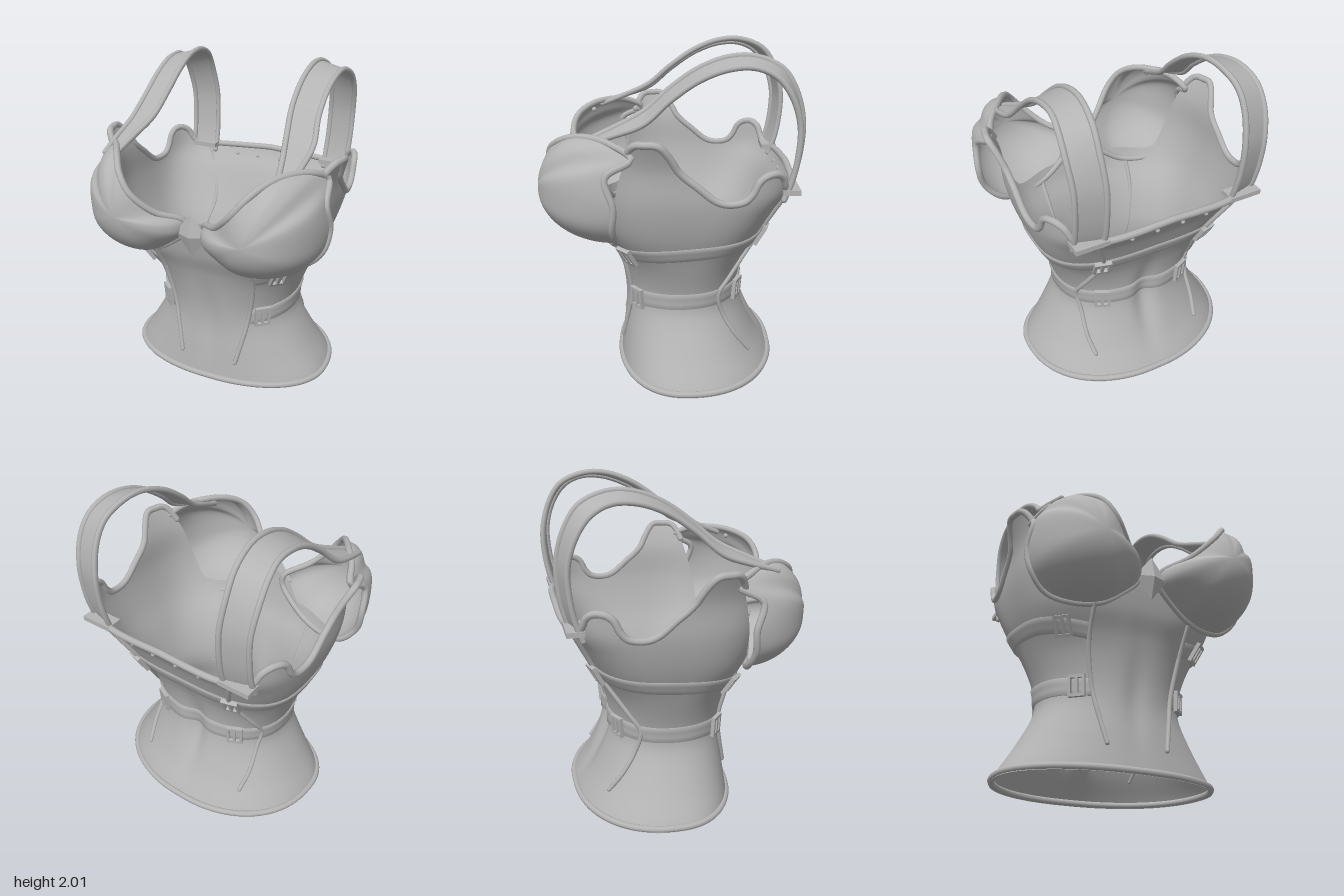
import * as THREE from 'three';

const steel = new THREE.MeshStandardMaterial({ color: 0xb4b4b4, side: THREE.DoubleSide });
steel.name = 'grey';

// Smooth interpolation through [position, value] pairs
function interp(table, t) {
  const n = table.length - 1;
  if (t <= table[0][0]) return table[0][1];
  if (t >= table[n][0]) return table[n][1];
  let i = 0;
  while (t > table[i + 1][0]) i++;
  const slope = (k) => {
    const a = table[Math.max(k - 1, 0)], b = table[Math.min(k + 1, n)];
    return (b[1] - a[1]) / (b[0] - a[0]);
  };
  const [x0, y0] = table[i], [x1, y1] = table[i + 1];
  const h = x1 - x0, s = (t - x0) / h, s2 = s * s, s3 = s2 * s;
  return y0 * (2 * s3 - 3 * s2 + 1) + y1 * (3 * s2 - 2 * s3)
    + slope(i) * h * (s3 - 2 * s2 + s) + slope(i + 1) * h * (s3 - s2);
}

// Torso profile by height
const halfWidth = [[0, 0.685], [0.05, 0.66], [0.2, 0.565], [0.4, 0.46], [0.5, 0.445], [0.6, 0.465], [0.8, 0.54],
  [1, 0.625], [1.2, 0.675], [1.4, 0.69], [1.5, 0.72], [1.58, 0.755]];
const frontZ = [[0, 0.325], [0.2, 0.305], [0.4, 0.29], [0.6, 0.305], [0.8, 0.35], [0.95, 0.41], [1.2, 0.46], [1.58, 0.47]];
const backZ = [[0, -0.67], [0.05, -0.64], [0.2, -0.55], [0.4, -0.47], [0.55, -0.445], [0.75, -0.475], [0.93, -0.55],
  [1.12, -0.635], [1.27, -0.72], [1.58, -0.74]];
const frontPower = [[0, 2.2], [0.7, 2.2], [1, 3], [1.6, 3]];
const backPower = [[0, 2.2], [0.5, 2.3], [0.8, 2.7], [1.25, 4], [1.6, 4]];
// Height of the top edge by angle from the front
const topEdge = [[0, 1.2], [0.14, 1.17], [0.28, 1.05], [0.4, 1.03], [0.78, 1.03], [0.87, 1.2], [0.96, 1.4], [1.06, 1.55],
  [1.2, 1.575], [1.31, 1.565], [1.4, 1.5], [1.48, 1.42], [1.65, 1.33], [1.81, 1.25], [1.95, 1.23], [2.07, 1.26],
  [2.136, 1.36], [2.24, 1.39], [2.32, 1.36], [2.39, 1.28], [2.5, 1.26], [Math.PI, 1.28]];
const topY = (u) => interp(topEdge, Math.abs(u > Math.PI ? u - 2 * Math.PI : u));

// Point on the torso: u is the angle from the front towards +x
function torso(u, y, out = 0) {
  const s = Math.sin(u), c = Math.cos(u), z0 = -0.1, front = c > 0;
  const n = interp(front ? frontPower : backPower, y);
  const r = 1 / Math.pow(Math.abs(s) ** n + Math.abs(c) ** n, 1 / n);
  const x = (interp(halfWidth, y) + out) * r * s;
  const depth = front ? interp(frontZ, y) - z0 + out : z0 - interp(backZ, y) + out;
  const groove = Math.exp(-((x / 0.07) ** 2)) * Math.exp(-(((y - 0.45) / 0.25) ** 2));
  return new THREE.Vector3(x, y, z0 + depth * r * c + groove * (front ? -0.02 : 0.045));
}

// Smooth surface from a grid of points f(s, t)
function surface(f, ns, nt, closed = false) {
  const pos = [], idx = [], cols = closed ? ns : ns + 1;
  for (let j = 0; j <= nt; j++)
    for (let i = 0; i < cols; i++) pos.push(...f(i / ns, j / nt).toArray());
  for (let j = 0; j < nt; j++)
    for (let i = 0; i < ns; i++) {
      const a = j * cols + i, b = j * cols + (i + 1) % cols;
      idx.push(a, b, b + cols, a, b + cols, a + cols);
    }
  const g = new THREE.BufferGeometry();
  g.setAttribute('position', new THREE.Float32BufferAttribute(pos, 3));
  g.setIndex(idx);
  g.computeVertexNormals();
  return g;
}

export function createModel() {
  const model = new THREE.Group();
  model.name = 'corset';
  const add = (name, geo) => {
    const m = new THREE.Mesh(geo, steel);
    m.name = name;
    model.add(m);
    return m;
  };
  const curveOf = (pts, closed = false) => new THREE.CatmullRomCurve3(pts, closed, 'centripetal');
  const cord = (name, pts, r, closed = false) => {
    add(name, new THREE.TubeGeometry(curveOf(pts, closed), pts.length * 5, r, 8, closed));
    if (!closed) for (const p of [pts[0], pts[pts.length - 1]])
      add(name + 'End', new THREE.SphereGeometry(r, 8, 6)).position.copy(p);
  };
  const sweep = (n, f) => Array.from({ length: n + 1 }, (_, i) => f(i / n));
  const TAU = Math.PI * 2;

  // Torso shell and its edge trims
  add('torso', surface((s, t) => torso(s * TAU, topY(s * TAU) * t), 240, 44, true));
  cord('topTrim', sweep(110, (t) => { const u = 1.0 + t * (TAU - 2.0); return torso(u, topY(u), 0.004); }), 0.021);
  cord('hemTrim', sweep(60, (t) => torso(t * TAU, 0.021)).slice(0, -1), 0.02, true);

  // Two belts running round the sides and back
  const belts = [
    { y: [[0.55, 0.8], [1.2, 0.865], [2.6, 0.935], [Math.PI, 0.945]], start: 0.55, h: 0.085, buckles: [0.83, 2.6] },
    { y: [[0.6, 0.49], [1.2, 0.515], [2.6, 0.545], [Math.PI, 0.55]], start: 0.6, h: 0.1, buckles: [0.785, 2.53] },
  ];
  // Buckle frame with two slots
  const rect = (P, x, y, w, h) => new P().moveTo(x, y).lineTo(x + w, y).lineTo(x + w, y + h).lineTo(x, y + h).closePath();
  const frame = rect(THREE.Shape, -0.05, -0.065, 0.1, 0.13);
  frame.holes.push(rect(THREE.Path, -0.034, -0.046, 0.025, 0.092), rect(THREE.Path, 0.009, -0.046, 0.025, 0.092));
  const buckleGeo = new THREE.ExtrudeGeometry(frame, { depth: 0.024, bevelEnabled: false });
  for (const b of belts) {
    const beltY = (u) => interp(b.y, u > Math.PI ? TAU - u : u);
    add('belt', surface((s, t) => {
      const u = b.start + s * (TAU - 2 * b.start);
      // edges fold in to the shell so that the belt reads as solid
      return torso(u, beltY(u) + (Math.min(Math.max(t, 0.2), 0.8) - 0.5) / 0.6 * b.h, t < 0.1 || t > 0.9 ? 0 : 0.013);
    }, 120, 5));
    for (const a of b.buckles) for (const side of [1, -1]) {
      const u = a * side, y = beltY(a), p = torso(u, y, 0.012);
      const du = torso(u + 0.06, y).sub(torso(u - 0.06, y));
      const normal = du.cross(torso(u, y + 0.04).sub(torso(u, y - 0.04))).normalize();
      const m = add('buckle', buckleGeo);
      m.position.copy(p);
      m.lookAt(p.clone().add(normal));
    }
  }

  // Cups: rim outline (x, y, z) domed out to the fullest point
  const rim = [[0.07, 1.19, 0.47], [0.21, 1.27, 0.61], [0.33, 1.39, 0.69], [0.41, 1.49, 0.66], [0.48, 1.55, 0.56],
    [0.56, 1.57, 0.43], [0.65, 1.55, 0.3], [0.705, 1.49, 0.2], [0.74, 1.4, 0.34], [0.76, 1.24, 0.3], [0.73, 1.1, 0.31],
    [0.63, 0.99, 0.3], [0.47, 0.94, 0.345], [0.3, 0.955, 0.4], [0.17, 1.03, 0.43], [0.07, 1.12, 0.46]];
  for (const side of [1, -1]) {
    const fit = (x, y, z) => side > 0 ? new THREE.Vector3(x, y, z)
      : new THREE.Vector3(-x * 0.935, y, z < 0.33 ? z : 0.33 + (z - 0.33) * 0.86);
    const loop = curveOf(rim.map((p) => new THREE.Vector3(...p)), true);
    add('cup', surface((s, t) => {
      const p = loop.getPoint(s), k = Math.sin((1 - t) * Math.PI / 2);
      const e = 0.5 + 0.4 * THREE.MathUtils.smoothstep(p.z, 0.4, 0.65);
      return fit(0.42 + (p.x - 0.42) * k, 1.25 + (p.y - 1.25) * k, p.z + (0.75 - p.z) * Math.pow(Math.max(0, 1 - k * k), e));
    }, 96, 24, true));
    cord('cupTrim', rim.map((p) => fit(...p)), 0.02, true);
    add('cupRivet', new THREE.SphereGeometry(0.016, 12, 8)).position.copy(fit(0.59, 1.49, 0.555));

    // Shoulder strap: centre (x, y, z), half width, drop of the outer edge
    const path = [[0.54, 1.54, 0.46, 0.035, 0], [0.53, 1.6, 0.3, 0.06, 0.01], [0.51, 1.67, 0.14, 0.08, 0.02],
      [0.485, 1.79, 0, 0.08, 0.02], [0.48, 1.9, -0.16, 0.08, 0.02], [0.485, 1.96, -0.32, 0.08, 0.02],
      [0.49, 1.965, -0.46, 0.08, 0.02], [0.505, 1.91, -0.59, 0.08, 0.015], [0.51, 1.8, -0.67, 0.08, 0.01],
      [0.5, 1.63, -0.72, 0.08, 0], [0.495, 1.45, -0.715, 0.08, 0], [0.49, 1.32, -0.69, 0.08, 0], [0.49, 1.22, -0.655, 0.08, 0]];
    const edge = (d) => path.map(([x, y, z, w, drop]) =>
      new THREE.Vector3(side * (x + d * w), y - d * drop, z + (z < -0.5 ? d * 0.02 : 0)));
    const inner = edge(-1), outer = edge(1), ci = curveOf(inner), co = curveOf(outer);
    add('shoulderStrap', surface((s, t) => ci.getPoint(s).lerp(co.getPoint(s), t), 72, 3));
    cord('strapEdge', inner, 0.017);
    cord('strapEdge', outer, 0.017);
    add('strapClasp', new THREE.BoxGeometry(0.2, 0.03, 0.1)).position.set(side * 0.49, 1.265, -0.675);

    // Raised seams at the front and back
    const seam = (pts) => cord('seam', pts.map(([u, y]) => torso(u * side, y, 0.008)), 0.014);
    seam([[0.5, 0.95], [0.585, 0.75], [0.6, 0.5], [0.485, 0.35], [0.32, 0.16]]);
    seam([[2.54, 1.25], [2.61, 0.93], [2.45, 0.75], [2.29, 0.65], [2.13, 0.55], [2.19, 0.42], [2.35, 0.27], [2.49, 0.16]]);

    // Small rivets below the back edge
    for (const a of [0.12, 0.34])
      add('backRivet', new THREE.SphereGeometry(0.013, 10, 8)).position.copy(torso(Math.PI - a * side, 1.21, 0.004));
  }

  // Diamond ornament between the cups
  const diamond = new THREE.OctahedronGeometry(1);
  diamond.scale(0.105, 0.14, 0.04);
  const ornament = add('diamondOrnament', diamond);
  ornament.position.set(0, 1.13, 0.495);
  ornament.rotation.x = 0.05;

  return model;
}
